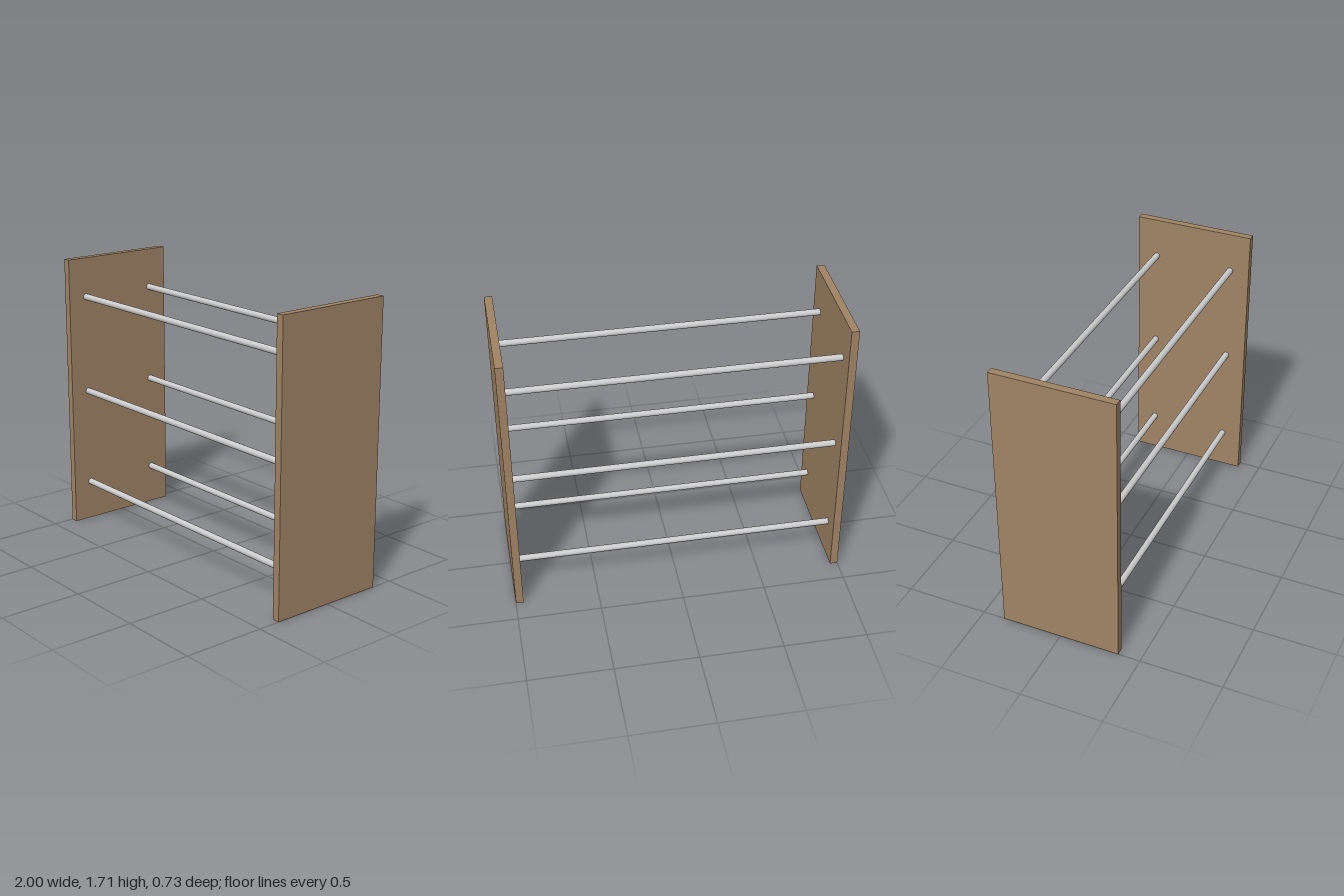
import * as THREE from 'three';

export function createModel() {
  const wood = new THREE.MeshStandardMaterial({ name: 'brown wood', color: 0xa08465 });
  const metal = new THREE.MeshStandardMaterial({ name: 'light grey metal', color: 0xcccccc });

  const height = 1.71, depth = 0.732, thickness = 0.046, rodRadius = 0.0195;
  const model = new THREE.Group();
  model.name = 'shoeRack';

  // upright side panels
  const panelGeometry = new THREE.BoxGeometry(thickness, height, depth);
  for (const side of [-1, 1]) {
    const panel = new THREE.Mesh(panelGeometry, wood);
    panel.name = side > 0 ? 'leftPanel' : 'rightPanel';
    panel.position.set(side * (1 - thickness / 2), height / 2, 0);
    model.add(panel);
  }

  // three tiers of paired rods spanning the panels
  const rodGeometry = new THREE.CylinderGeometry(rodRadius, rodRadius, 2 - 2 * thickness, 24);
  rodGeometry.rotateZ(Math.PI / 2);
  ['lower', 'middle', 'upper'].forEach((tier, i) => {
    for (const side of [-1, 1]) {
      const rod = new THREE.Mesh(rodGeometry, metal);
      rod.name = tier + (side > 0 ? 'FrontRod' : 'BackRod');
      rod.position.set(0, 0.247 + i * 0.609, side * 0.244);
      model.add(rod);
    }
  });

  return model;
}
